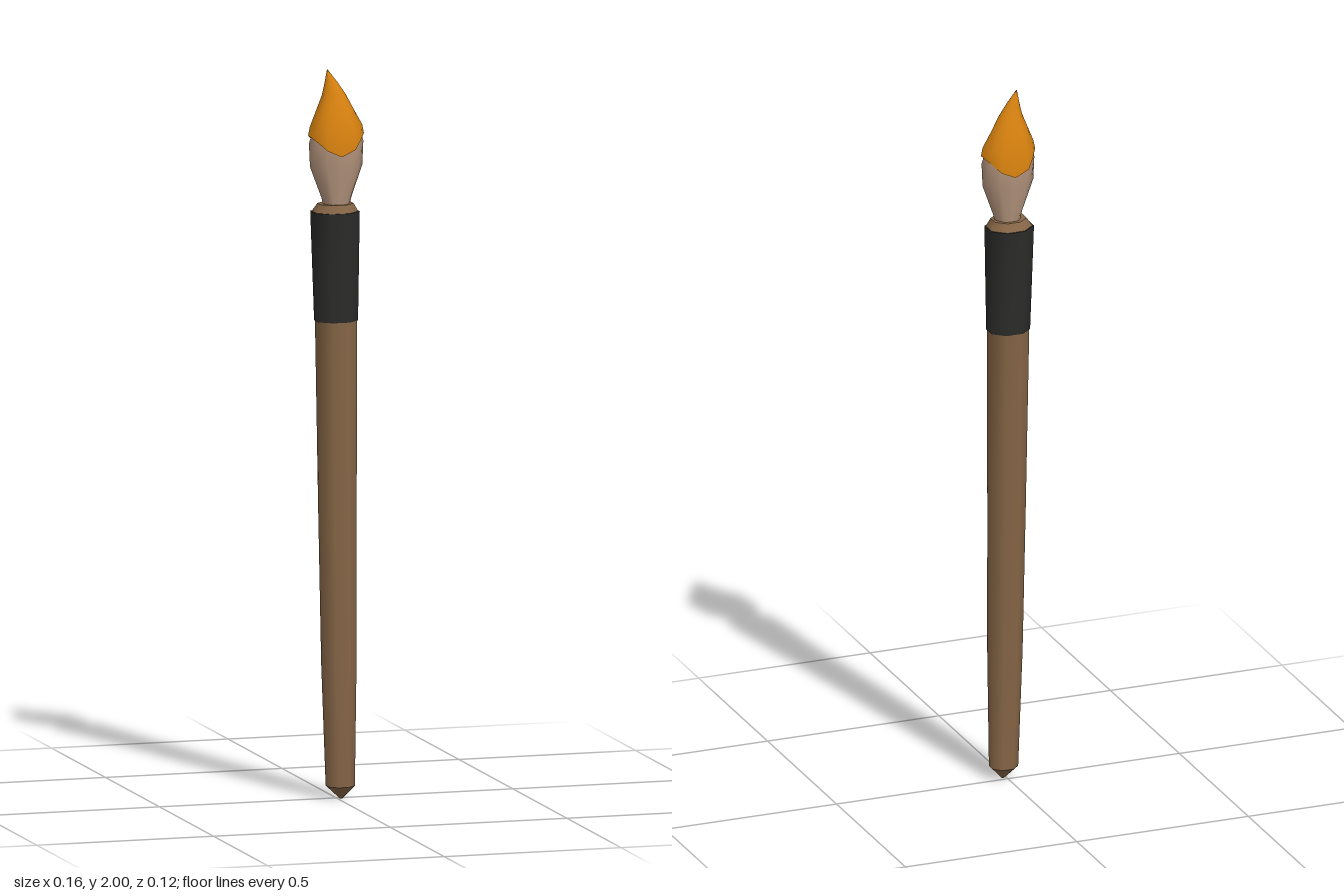
import * as THREE from 'three';

const mat = (name, color) => {
  const m = new THREE.MeshStandardMaterial({ color });
  m.name = name;
  return m;
};

// Unit cross-sections, running from +x towards +z
const OCTAGON = [[1, 0.42], [0.42, 1], [-0.42, 1], [-1, 0.42], [-1, -0.42], [-0.42, -1], [0.42, -1], [1, -0.42]];
const HEXAGON = [[1, 0], [0.78, 0.52], [0.5, 0.96], [0, 1], [-0.5, 0.96], [-0.78, 0.52],
  [-1, 0], [-0.78, -0.52], [-0.5, -0.96], [0, -1], [0.5, -0.96], [0.78, -0.52]];

// Joins sections [y, centreX, centreZ, halfWidth, halfDepth, dip] from bottom to top.
// A repeated section makes a crease; dip lowers the front and back of a ring.
function loft(name, material, outline, sections) {
  const n = outline.length, pos = [], index = [];
  for (const [y, cx, cz, rx, rz, dip = 0] of sections) {
    for (const [px, pz] of outline) {
      pos.push(cx + px * rx, y - dip * Math.abs(pz) * (1 - 0.6 * Math.abs(px)), cz + pz * rz);
    }
  }
  for (let i = 0; i < sections.length - 1; i++) {
    for (let j = 0; j < n; j++) {
      const a = i * n + j, b = i * n + (j + 1) % n;
      index.push(a, a + n, b, b, a + n, b + n);
    }
  }
  const geo = new THREE.BufferGeometry();
  geo.setAttribute('position', new THREE.Float32BufferAttribute(pos, 3));
  geo.setIndex(index);
  geo.computeVertexNormals();
  const mesh = new THREE.Mesh(geo, material);
  mesh.name = name;
  return mesh;
}

export function createModel() {
  const wood = mat('wood brown', 0x856546);
  const black = mat('wrap black', 0x2b2b2a);
  const hair = mat('bristle beige', 0xb0917a);
  const orange = mat('paint orange', 0xd8820f);
  const group = new THREE.Group();
  group.name = 'paintbrush';

  // Slightly bowed wooden handle with a blunt point
  const end = [0.035, 0.008, 0.012, 0.037, 0.034];
  group.add(loft('handle', wood, OCTAGON, [
    [0, 0.01, 0.012, 0.003, 0.003], end, end,
    [0.37, 0.004, 0.012, 0.045, 0.039],
    [0.8, 0.002, 0.005, 0.049, 0.043],
    [1.32, 0.001, -0.004, 0.054, 0.046],
  ]));

  // Dark wrap, closed at both ends
  const low = [1.31, 0.001, -0.004, 0.056, 0.048], high = [1.61, -0.002, -0.004, 0.063, 0.055];
  group.add(loft('wrap', black, OCTAGON, [
    [1.31, 0.001, -0.004, 0, 0], low, low, high, high, [1.61, -0.002, -0.004, 0, 0],
  ]));

  // Sloping wooden collar above the wrap
  const rim = [1.632, -0.001, -0.002, 0.046, 0.04];
  group.add(loft('collar', wood, OCTAGON, [
    [1.609, -0.002, -0.004, 0.06, 0.052], rim, rim, [1.632, 0, 0, 0, 0],
  ]));

  // Bristles swelling out of the collar
  group.add(loft('bristles', hair, HEXAGON, [
    [1.62, 0.001, 0, 0.035, 0.031],
    [1.65, 0.001, 0, 0.043, 0.034],
    [1.735, 0, 0, 0.074, 0.042],
    [1.80, 0, 0, 0.077, 0.047],
    [1.86, 0, 0, 0.058, 0.036],
    [1.88, 0, 0, 0, 0],
  ]));

  // Paint-loaded tip, with a lower edge that droops at front and back
  const edge = [1.822, -0.001, 0.002, 0.079, 0.055, 0.055];
  group.add(loft('paintTip', orange, HEXAGON, [
    [1.826, 0, 0, 0.066, 0.04, 0.05], edge, edge,
    [1.846, -0.001, 0.002, 0.074, 0.054, 0.025],
    [1.885, -0.004, 0.001, 0.055, 0.037],
    [1.93, -0.007, 0.001, 0.034, 0.022],
    [1.965, -0.015, 0.001, 0.018, 0.012],
    [2, -0.025, 0, 0.001, 0.001],
  ]));

  return group;
}
